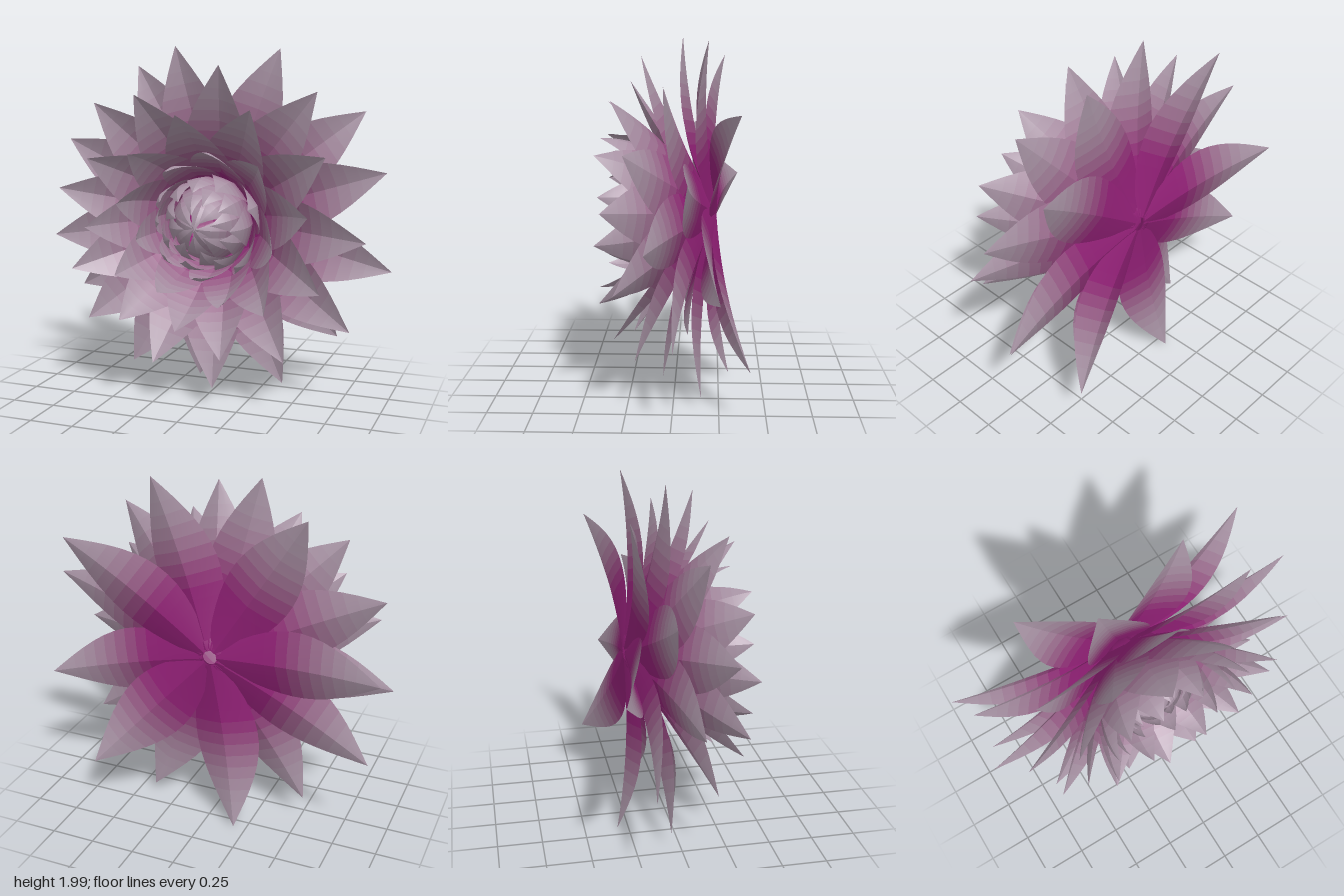
import * as THREE from 'three';

const COUNT = 78;                  // petals, from the back outwards to the heart
const GOLDEN = 137.508, START = 312.6;
const ROWS = 14;                   // one colour step per row of a petal
const CENTRE_Y = 1.015;

// petal index, tip radius, tip z, base radius, base z,
// bow (+ bends back, - curls in), handle position, half width
const KEYS = [
  [0, 0.97, -0.41, 0.04, -0.235, 0.04, 0.35, 0.19],
  [2, 1.02, -0.345, 0.04, -0.235, 0.04, 0.35, 0.19],
  [5, 1.03, -0.25, 0.04, -0.235, 0.045, 0.35, 0.19],
  [10, 1.03, -0.09, 0.04, -0.23, 0.045, 0.35, 0.19],
  [15, 0.97, 0.04, 0.04, -0.225, 0.035, 0.35, 0.19],
  [20, 0.89, 0.18, 0.05, -0.22, 0.02, 0.35, 0.19],
  [28, 0.74, 0.33, 0.06, -0.22, -0.02, 0.33, 0.19],
  [36, 0.56, 0.41, 0.06, -0.22, -0.08, 0.3, 0.18],
  [43, 0.41, 0.41, 0.06, -0.22, -0.13, 0.25, 0.16],
  [47, 0.32, 0.38, 0.06, -0.225, -0.15, 0.2, 0.14],
  [51, 0.23, 0.30, 0.06, -0.23, -0.16, 0.14, 0.13],
  [60, 0.16, 0.26, 0.05, -0.235, -0.19, 0.08, 0.12],
  [77, -0.04, 0.24, 0.05, -0.23, -0.25, 0.05, 0.1],
];

function petalParams(i) {
  let k = 0;
  while (k < KEYS.length - 2 && i > KEYS[k + 1][0]) k++;
  const a = KEYS[k], b = KEYS[k + 1];
  const t = (i - a[0]) / (b[0] - a[0]);
  return a.map((v, j) => v + (b[j] - v) * t);
}

// One pointed, keeled petal swept along a curve in the (radius, z) plane
function petalGeometry(i) {
  const [, tipR, tipZ, baseR, baseZ, bow, handle, halfWidth] = petalParams(i);
  const start = new THREE.Vector2(baseR, baseZ), end = new THREE.Vector2(tipR, tipZ);
  const chord = end.clone().sub(start);
  const offset = new THREE.Vector2(-chord.y, chord.x).setLength(Math.abs(bow)).multiplyScalar(Math.sign(bow));
  const spine = new THREE.CubicBezierCurve(
    start,
    start.clone().addScaledVector(chord, handle).add(offset),
    end.clone().addScaledVector(chord, -handle).add(offset),
    end);
  const angle = THREE.MathUtils.degToRad(START - GOLDEN * i);
  const c = Math.cos(angle), s = Math.sin(angle);
  const columns = [-1, -0.5, 0, 0, 0.5, 1]; // doubled middle keeps the keel sharp
  const n = columns.length;
  const positions = [], indices = [];
  for (let row = 0; row <= ROWS; row++) {
    const t = row / ROWS;
    const p = spine.getPoint(t), d = spine.getTangent(t);
    const w = halfWidth * Math.sin(Math.PI * (0.08 + 0.92 * t));
    for (const u of columns) {
      const lift = w * (0.18 * Math.abs(u) + 0.12 * u * u);
      const r = p.x - d.y * lift, z = p.y + d.x * lift;
      positions.push(c * r - s * u * w, s * r + c * u * w, z);
    }
  }
  for (let row = 0; row < ROWS; row++) {
    for (let k = 0; k < n - 1; k++) {
      if (k === 2) continue;
      const a = row * n + k, b = a + n;
      indices.push(a, b, b + 1, a, b + 1, a + 1);
    }
  }
  const geometry = new THREE.BufferGeometry();
  geometry.setAttribute('position', new THREE.Float32BufferAttribute(positions, 3));
  geometry.setIndex(indices);
  geometry.computeVertexNormals();
  const perRow = indices.length / ROWS;
  for (let row = 0; row < ROWS; row++) geometry.addGroup(row * perRow, perRow, row);
  return geometry;
}

export function createModel() {
  const flower = new THREE.Group();
  flower.name = 'flower';

  // Colour fades from a magenta base to a pale mauve tip
  const base = new THREE.Color(0x8f1f74), tip = new THREE.Color(0xa894a5);
  const materials = Array.from({ length: ROWS }, (_, row) => {
    const fade = THREE.MathUtils.smoothstep((row + 0.5) / ROWS, 0.3, 0.9);
    return new THREE.MeshStandardMaterial({
      color: base.clone().lerp(tip, fade), side: THREE.DoubleSide,
    });
  });

  // Spiral of petals, grouped into layers
  const layers = [['backPetals', 0], ['middlePetals', 13], ['innerPetals', 34], ['budPetals', 51]];
  layers.forEach(([name, first], l) => {
    const layer = new THREE.Group();
    layer.name = name;
    const end = l + 1 < layers.length ? layers[l + 1][1] : COUNT;
    for (let i = first; i < end; i++) {
      const petal = new THREE.Mesh(petalGeometry(i), materials);
      petal.name = 'petal';
      layer.add(petal);
    }
    flower.add(layer);
  });

  flower.position.y = CENTRE_Y;
  const model = new THREE.Group();
  model.name = 'flowerHead';
  model.add(flower);
  return model;
}
